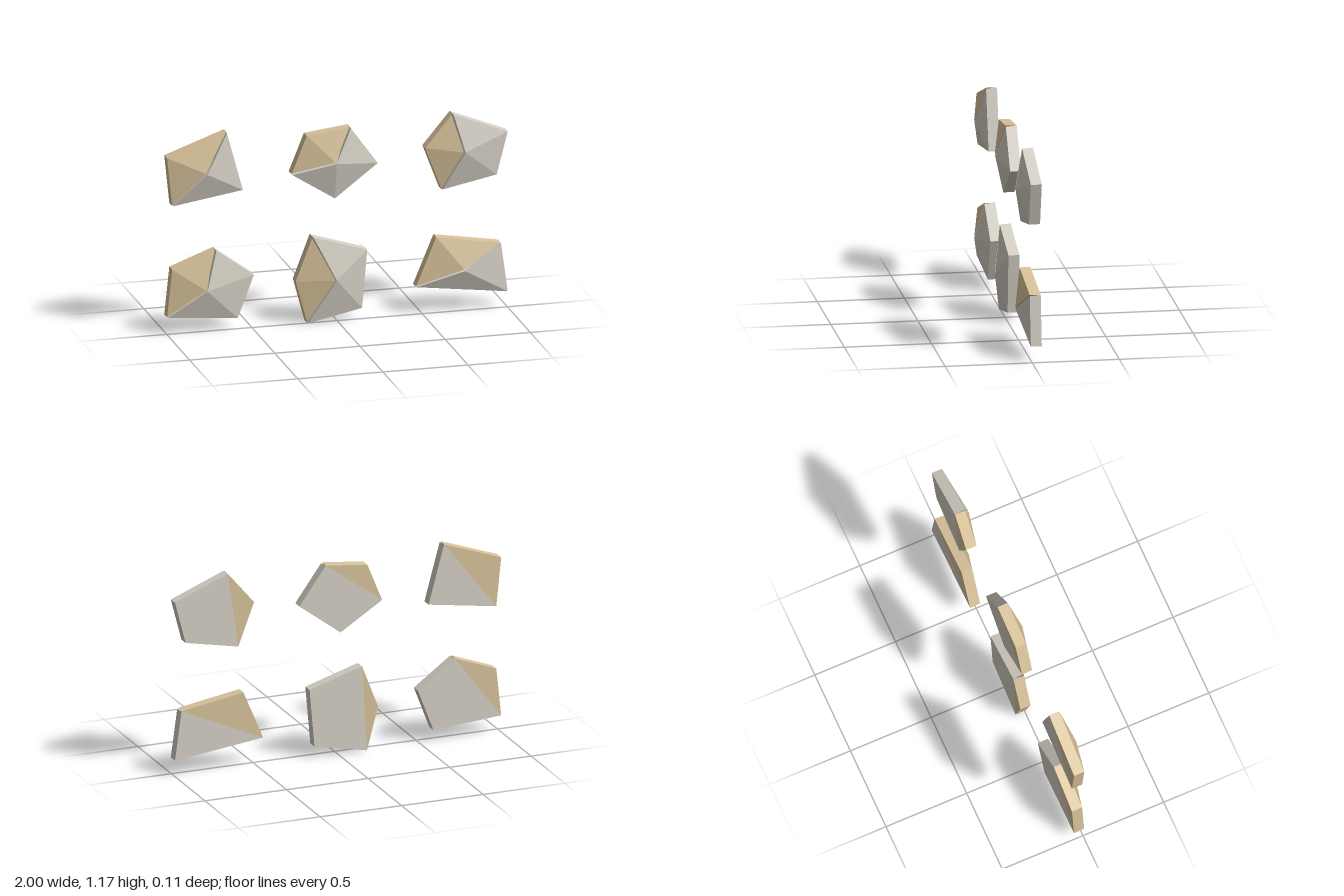
import * as THREE from 'three';

const BACK = -0.055, RIM = 0.008, PEAK = 0.055, GAP = 0.006;

// Outlines run clockwise from the front: seam start a, tan corner, seam end b, grey corners; apex is the peak.
const STUDS = [
  { a: [-0.97, 0.76], tan: [[-1, 1.05]], b: [-0.65, 1.175], grey: [[-0.555, 0.825]], apex: [-0.78, 0.95] },
  { a: [-0.27, 0.892], tan: [[-0.18, 1.115]], b: [0.075, 1.145], grey: [[0.237, 0.92], [-0.015, 0.73]], apex: [-0.02, 0.953] },
  { a: [0.612, 0.73], tan: [[0.515, 0.985]], b: [0.675, 1.175], grey: [[1, 1.045], [0.935, 0.795]], apex: [0.735, 0.955] },
  { a: [-1, 0.1], tan: [[-0.97, 0.385]], b: [-0.715, 0.48], grey: [[-0.49, 0.315], [-0.585, 0.066]], apex: [-0.78, 0.255] },
  { a: [-0.177, 0], tan: [[-0.245, 0.255]], b: [-0.147, 0.51], grey: [[0.175, 0.41], [0.145, 0.066]], apex: [-0.02, 0.255] },
  { a: [0.46, 0.163], tan: [[0.58, 0.45]], b: [0.96, 0.387], grey: [[1, 0.095]], apex: [0.735, 0.255] },
];

// One half of a faceted stud: pyramid facets, rim walls, flat back and a slanted seam wall
function halfGeometry(outline, peak) {
  const pts = outline.map(p => new THREE.Vector2(...p));
  const n = pts.length, first = pts[0], last = pts[n - 1];
  const inset = (p, q) => p.clone().add(q.clone().sub(p).setLength(GAP));
  const at = (p, z) => new THREE.Vector3(p.x, p.y, z);

  // The front of the seam is drawn back a little to leave a groove
  const front = pts.map(p => at(p, RIM));
  front[0] = at(inset(first, pts[1]), RIM);
  front[n - 1] = at(inset(last, pts[n - 2]), RIM);
  const back = pts.map(p => at(p, BACK));
  const d = last.clone().sub(first).setLength(GAP);
  const apex = new THREE.Vector3(peak[0] - d.y, peak[1] + d.x, PEAK);

  const tris = [];
  for (let i = 0; i < n - 1; i++) {
    tris.push(apex, front[i + 1], front[i]);
    tris.push(front[i], front[i + 1], back[i + 1], front[i], back[i + 1], back[i]);
    if (i > 0) tris.push(back[0], back[i], back[i + 1]);
  }
  // Wall inside the seam, bent at the peak and straight at the back
  tris.push(front[n - 1], apex, back[n - 1]);
  tris.push(apex, back[0], back[n - 1]);
  tris.push(apex, front[0], back[0]);

  const geometry = new THREE.BufferGeometry().setFromPoints(tris);
  geometry.computeVertexNormals();
  return geometry;
}

export function createModel() {
  const group = new THREE.Group();
  group.name = 'facetedStones';
  const tanMaterial = new THREE.MeshStandardMaterial({ color: 0xd9c39b, flatShading: true });
  const greyMaterial = new THREE.MeshStandardMaterial({ color: 0xd6d0c5, flatShading: true });

  STUDS.forEach(({ a, tan, b, grey, apex }, i) => {
    const stone = new THREE.Group();
    stone.name = `stone${i + 1}`;
    const tanHalf = new THREE.Mesh(halfGeometry([a, ...tan, b], apex), tanMaterial);
    tanHalf.name = 'tanHalf';
    const greyHalf = new THREE.Mesh(halfGeometry([b, ...grey, a], apex), greyMaterial);
    greyHalf.name = 'greyHalf';
    stone.add(tanHalf, greyHalf);
    group.add(stone);
  });
  return group;
}
